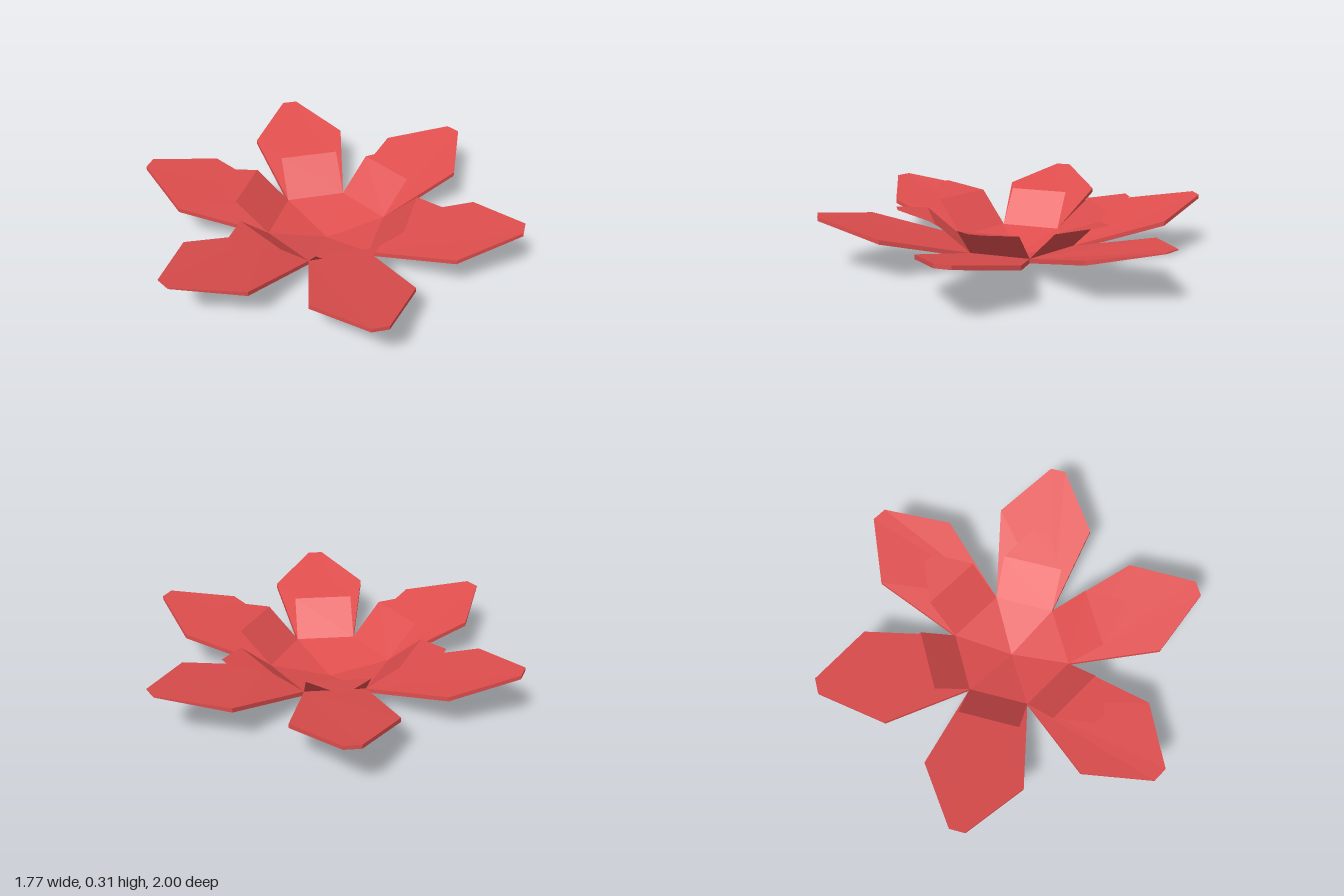
import * as THREE from 'three';

// Flat-faced geometry from planar polygons (counter-clockwise from their front)
function faces(polygons) {
  const pos = [];
  for (const p of polygons)
    for (let i = 1; i < p.length - 1; i++) pos.push(...p[0], ...p[i], ...p[i + 1]);
  const g = new THREE.BufferGeometry();
  g.setAttribute('position', new THREE.Float32BufferAttribute(pos, 3));
  g.computeVertexNormals();
  return g;
}

// Mirrored outline: left side from base to tip, then right side back
function outline(rows) {
  const left = rows.map(([w, y, r]) => [-w, y, r]);
  const right = rows.map(([w, y, r]) => [w, y, r]).reverse();
  return [...left, ...right];
}

// Solid outer petal: top, underside and the rim between them
function outerPetal(tipThickness) {
  const bottom = outline([[0.155, 0.077, 0.268], [0.25, 0.205, 0.72], [0.04, 0.28, 1]]);
  const top = outline([[0.155, 0.1, 0.268], [0.25, 0.228, 0.72], [0.04, 0.28 + tipThickness, 1]]);
  const polys = [top, [...bottom].reverse()];
  for (let i = 0; i < top.length - 1; i++)
    polys.push([bottom[i], bottom[i + 1], top[i + 1], top[i]]);
  return faces(polys);
}

// Thin inner petal: a steep wall that bends outward to the tip
function innerPetal() {
  const base = [0.155, 0.1, 0.268], bend = [0.155, 0.265, 0.44], tip = [0.035, 0.31, 0.61];
  return faces([outline([base, bend]), outline([bend, tip])]);
}

// One sixth of the shallow cup in the middle, inside and underside
function cupSector() {
  return faces([
    [[0, 0.02, 0], [-0.155, 0.1, 0.268], [0.155, 0.1, 0.268]],
    [[0, 0, 0], [0.155, 0.077, 0.268], [-0.155, 0.077, 0.268]],
  ]);
}

export function createModel() {
  const flower = new THREE.Group();
  flower.name = 'flower';
  const red = new THREE.MeshStandardMaterial({ color: 0xe04e4e, side: THREE.DoubleSide });
  red.name = 'petal red';

  const sideOuter = outerPetal(0.02);
  const axisOuter = outerPetal(0.005);
  const inner = innerPetal();
  const cup = cupSector();

  for (let i = 0; i < 6; i++) {
    const parts = {
      outerPetal: i % 3 === 0 ? axisOuter : sideOuter,
      innerPetal: inner,
      cupSector: cup,
    };
    for (const [name, geometry] of Object.entries(parts)) {
      const mesh = new THREE.Mesh(geometry, red);
      mesh.name = name;
      mesh.rotation.y = (i * Math.PI) / 3;
      flower.add(mesh);
    }
  }
  return flower;
}
